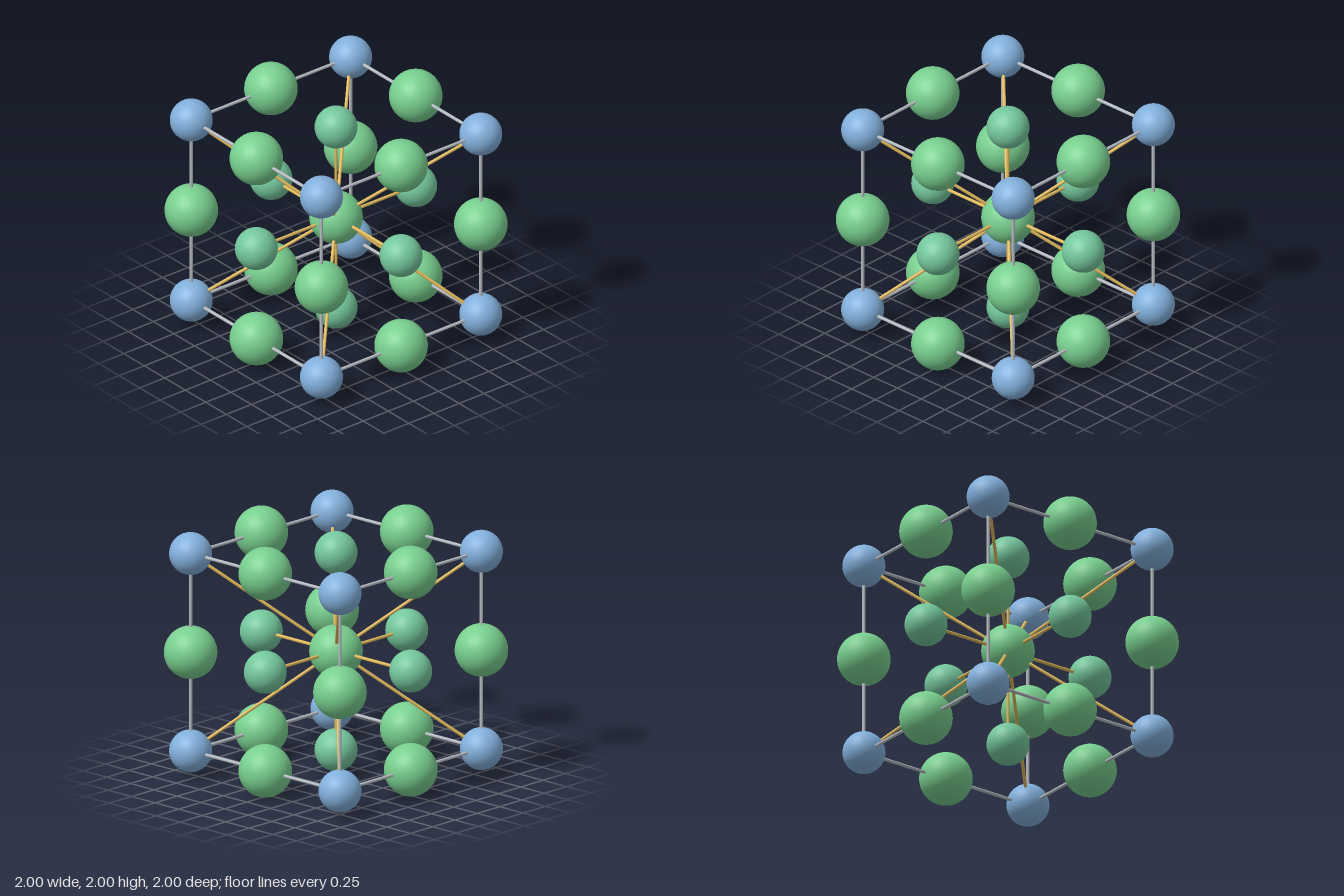
import * as THREE from 'three';

const H = 0.793;         // half edge of the cubic cell
const BIG = 0.207, SMALL = 0.166, ROD = 0.013;

const paint = (color) => new THREE.MeshStandardMaterial({ color });

export function createModel() {
  const model = new THREE.Group();
  model.name = 'crystalCell';
  const blue = paint(0x82b0dc), green = paint(0x78cf8f), teal = paint(0x74c79c);
  const grey = paint(0xb4bac0), gold = paint(0xe0b95c);
  const bigBall = new THREE.SphereGeometry(BIG, 40, 28);
  const smallBall = new THREE.SphereGeometry(SMALL, 40, 28);
  const up = new THREE.Vector3(0, 1, 0);

  function ball(name, geometry, material, p) {
    const m = new THREE.Mesh(geometry, material);
    m.name = name;
    m.position.copy(p);
    model.add(m);
  }

  function rod(name, material, a, b) {
    const d = b.clone().sub(a);
    const m = new THREE.Mesh(new THREE.CylinderGeometry(ROD, ROD, d.length(), 16), material);
    m.name = name;
    m.position.copy(a).add(b).multiplyScalar(0.5);
    m.quaternion.setFromUnitVectors(up, d.normalize());
    model.add(m);
  }

  // Lattice sites: number of non-zero coordinates tells centre, face, edge or corner
  const centre = new THREE.Vector3();
  const steps = [-1, 0, 1];
  for (const x of steps) for (const y of steps) for (const z of steps) {
    const p = new THREE.Vector3(x, y, z).multiplyScalar(H);
    const kind = Math.abs(x) + Math.abs(y) + Math.abs(z);
    if (kind === 0) ball('centreAtom', bigBall, green, p);
    if (kind === 1) {
      ball('faceAtom', smallBall, teal, p);
      rod('faceBond', gold, centre, p);
    }
    if (kind === 2) {
      ball('edgeAtom', bigBall, green, p);
      // Cell edge running through this atom, along its zero axis
      const along = new THREE.Vector3(x ? 0 : H, y ? 0 : H, z ? 0 : H);
      rod('cellEdge', grey, p.clone().sub(along), p.clone().add(along));
    }
    if (kind === 3) {
      ball('cornerAtom', smallBall, blue, p);
      rod('cornerBond', gold, centre, p);
    }
  }

  model.position.y = 1;
  const root = new THREE.Group();
  root.add(model);
  return root;
}
